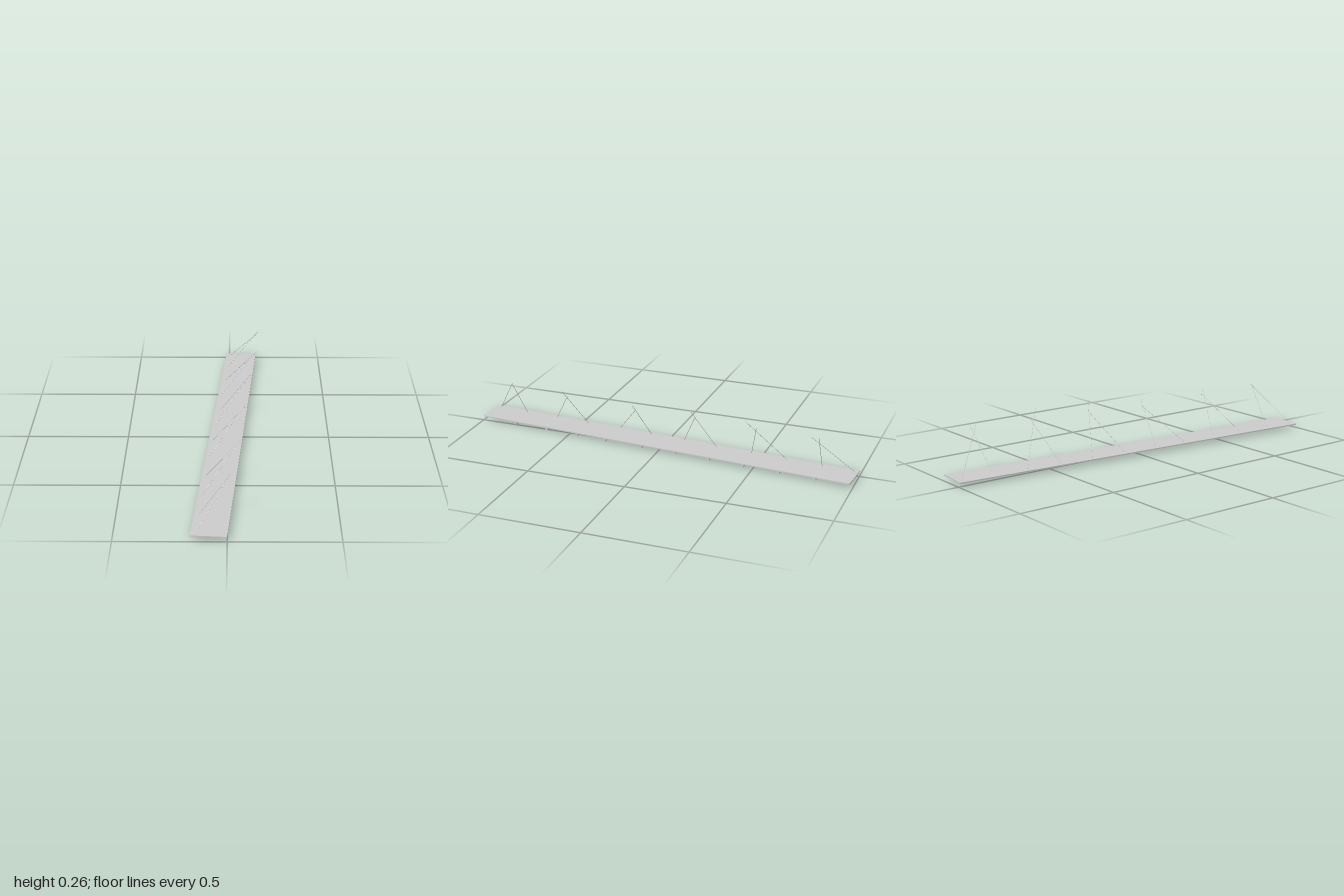
import * as THREE from 'three';

const material = new THREE.MeshStandardMaterial({ color: 0xcccccc, flatShading: true });

// Thin round rod between two points
function rod(name, from, to, radius) {
  const a = new THREE.Vector3(...from), b = new THREE.Vector3(...to);
  const dir = b.clone().sub(a);
  const mesh = new THREE.Mesh(new THREE.CylinderGeometry(radius, radius, dir.length(), 8), material);
  mesh.position.copy(a).add(b).multiplyScalar(0.5);
  mesh.quaternion.setFromUnitVectors(new THREE.Vector3(0, 1, 0), dir.normalize());
  mesh.name = name;
  return mesh;
}

export function createModel() {
  const model = new THREE.Group();
  model.name = 'canopy';

  // Long slab and its brackets share one slightly turned frame
  const canopy = new THREE.Group();
  canopy.name = 'canopyDeck';
  canopy.position.x = -0.008;
  canopy.rotation.y = -0.0745;
  model.add(canopy);

  const deck = new THREE.Mesh(new THREE.BoxGeometry(0.1635, 0.006, 1.992), material);
  deck.name = 'deck';
  deck.position.y = 0.0215;
  canopy.add(deck);

  // Tapered brackets under the slab, deepest at the +x edge
  const profile = new THREE.Shape([
    new THREE.Vector2(-0.075, 0.0145),
    new THREE.Vector2(0.069, 0),
    new THREE.Vector2(0.069, 0.019),
    new THREE.Vector2(-0.075, 0.019),
  ]);
  const width = 0.012;
  const bracketGeometry = new THREE.ExtrudeGeometry(profile, { depth: width, bevelEnabled: false });
  bracketGeometry.translate(0, 0, -width / 2);
  for (const z of [0.811, 0.629, 0.453, 0.292, 0.09, -0.092, -0.274, -0.456, -0.638, -0.82]) {
    const bracket = new THREE.Mesh(bracketGeometry, material);
    bracket.name = 'bracket';
    bracket.position.z = z;
    canopy.add(bracket);
  }

  // Slanted tie rods in pairs: base x, base z, tip x, tip y, tip z
  const ties = [
    [0.007, -0.98, 0.16, 0.236, -0.8], [-0.005, -0.817, 0.16, 0.236, -0.834],
    [-0.02, -0.638, 0.148, 0.262, -0.475], [-0.035, -0.455, 0.125, 0.225, -0.522],
    [-0.04, -0.273, 0.11, 0.257, -0.188], [-0.066, -0.093, 0.092, 0.223, -0.203],
    [-0.08, 0.088, 0.083, 0.233, 0.125], [-0.093, 0.267, 0.064, 0.208, 0.114],
    [-0.105, 0.448, 0.059, 0.245, 0.515], [-0.117, 0.63, 0.042, 0.218, 0.494],
    [-0.128, 0.807, 0.012, 0.233, 0.82], [-0.138, 0.967, 0.012, 0.233, 0.817],
  ];
  for (const [x, z, tx, ty, tz] of ties) {
    model.add(rod('tieRod', [x, 0.0235, z], [tx, ty, tz], 0.0012));
  }
  return model;
}
